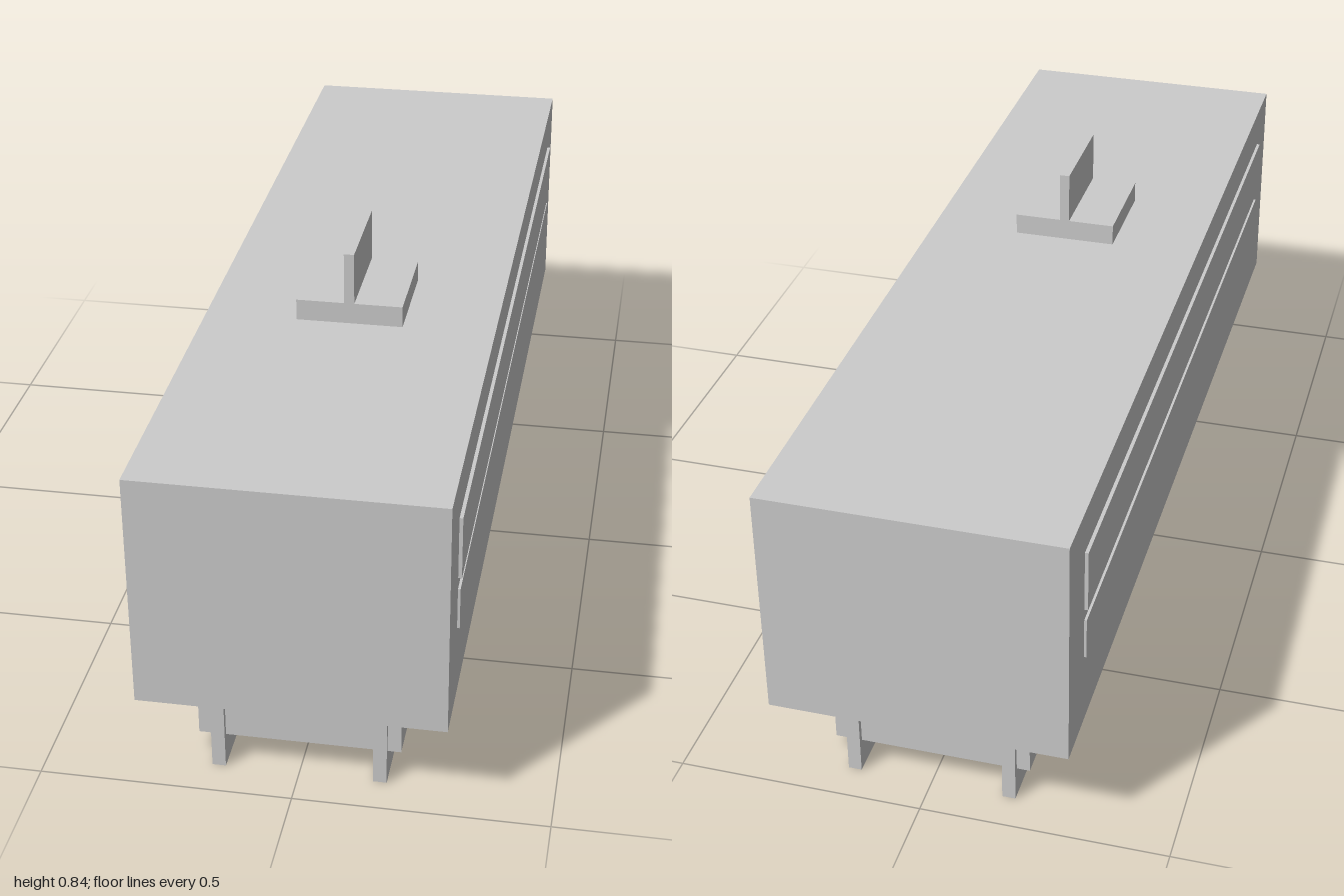
import * as THREE from 'three';

export function createModel() {
  const model = new THREE.Group();
  model.name = 'railCar';
  const material = new THREE.MeshStandardMaterial({ color: 0xcccccc, flatShading: true });

  // Box given by its size and centre
  function box(parent, name, [w, h, d], [x, y, z]) {
    const mesh = new THREE.Mesh(new THREE.BoxGeometry(w, h, d), material);
    mesh.name = name;
    mesh.position.set(x, y, z);
    parent.add(mesh);
  }

  // Car body
  box(model, 'body', [0.6, 0.49, 2], [0, 0.445, 0]);

  // Window band and stripe, slightly raised on both sides
  for (const side of [1, -1]) {
    box(model, 'windowBand', [0.017, 0.131, 1.776], [side * 0.2985, 0.535, 0]);
    box(model, 'sideStripe', [0.015, 0.088, 1.776], [side * 0.2975, 0.401, 0]);
  }

  // Current collector on the roof
  const collector = new THREE.Group();
  collector.name = 'currentCollector';
  collector.position.set(0, 0.69, 0.222);
  box(collector, 'collectorBase', [0.22, 0.045, 0.22], [0, 0.0225, 0]);
  box(collector, 'collectorBlade', [0.021, 0.11, 0.22], [0, 0.1, 0]);
  model.add(collector);

  // Bogies with four square wheels each
  for (const end of [1, -1]) {
    const bogie = new THREE.Group();
    bogie.name = end > 0 ? 'frontBogie' : 'rearBogie';
    bogie.position.z = end * 0.713;
    box(bogie, 'bogieFrame', [0.4, 0.12, 0.4], [0, 0.13, 0]);
    for (const x of [-0.16, 0.16])
      for (const z of [-0.134, 0.134])
        box(bogie, 'wheel', [0.027, 0.155, 0.155], [x, 0.0785, z]);
    model.add(bogie);
  }

  return model;
}
